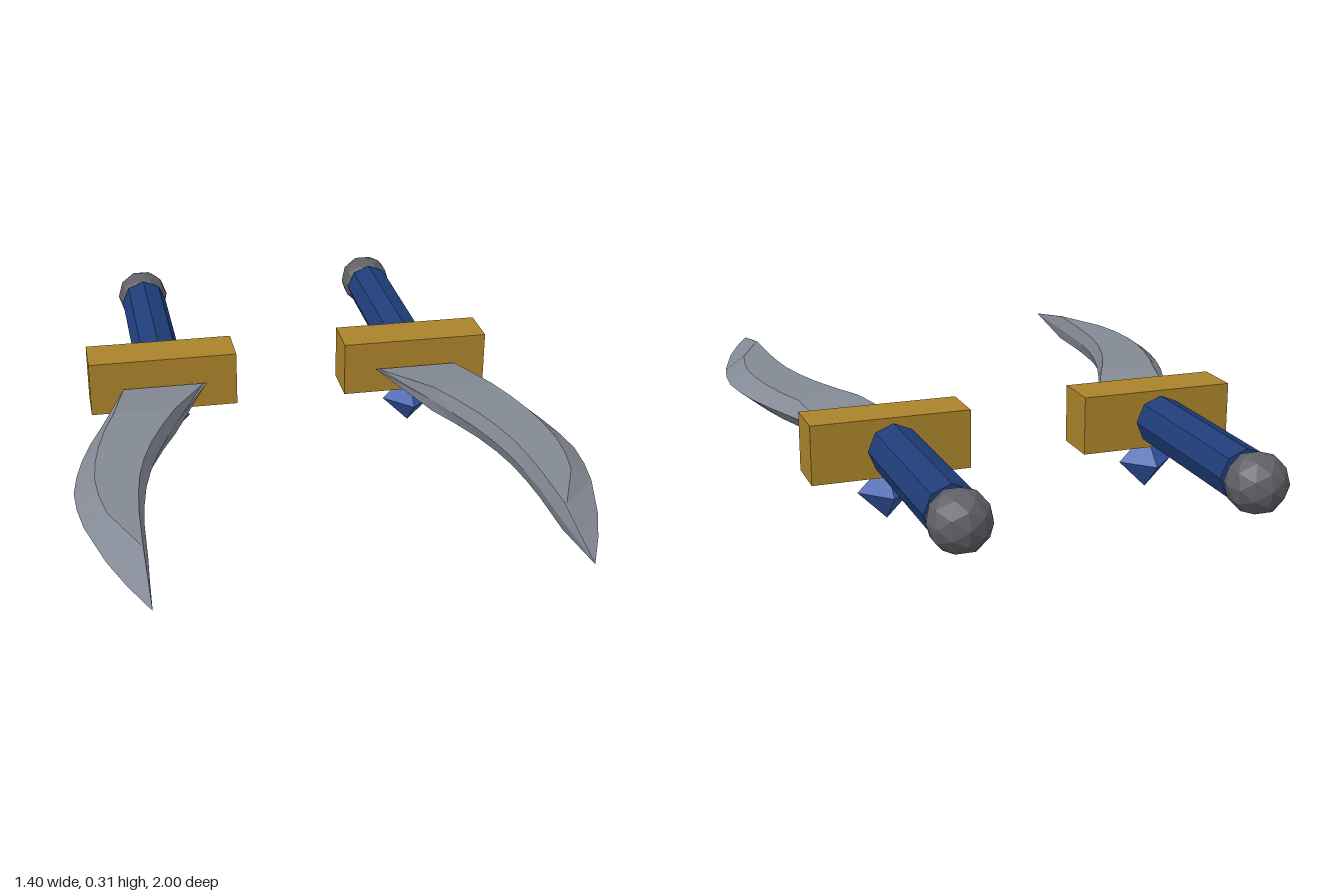
import * as THREE from 'three';

const mat = (name, color) => {
  const m = new THREE.MeshStandardMaterial({ color, flatShading: true });
  m.name = name;
  return m;
};

// Blade stations: z, outer edge x, outer flat x, inner flat x, inner edge x, half thickness
const STATIONS = [
  [-0.185, 0.52, 0.51, 0.275, 0.266, 0],
  [0.05, 0.602, 0.565, 0.388, 0.38, 0.04],
  [0.14, 0.637, 0.595, 0.432, 0.418, 0.04],
  [0.24, 0.668, 0.62, 0.474, 0.457, 0.04],
  [0.33, 0.688, 0.635, 0.502, 0.485, 0.04],
  [0.42, 0.70, 0.642, 0.522, 0.506, 0.04],
  [0.51, 0.696, 0.637, 0.533, 0.519, 0.04],
  [0.60, 0.683, 0.622, 0.54, 0.528, 0.04],
  [0.77, 0.638, 0.55, 0.545, 0.534, 0.04],
  [0.885, 0.596, 0.548, 0.545, 0.54, 0.02],
  [1.0, 0.545, 0.545, 0.545, 0.545, 0],
];

// Six-sided sections joined along the curve, side is +1 or -1
function bladeGeometry(side) {
  const Y = 0.229;
  const rings = STATIONS.map(([z, o, of, inf, i, t]) => [
    [o, Y, z], [of, Y + t, z], [inf, Y + t, z], [i, Y, z], [inf, Y - t, z], [of, Y - t, z],
  ].map(([x, y, zz]) => [x * side, y, zz]));
  const pos = [];
  const tri = (a, b, c) => pos.push(...a, ...(side > 0 ? b : c), ...(side > 0 ? c : b));
  for (let r = 0; r < rings.length - 1; r++) {
    for (let k = 0; k < 6; k++) {
      const n = (k + 1) % 6;
      const a = rings[r][k], b = rings[r][n], c = rings[r + 1][n], d = rings[r + 1][k];
      tri(a, c, d);
      tri(a, b, c);
    }
  }
  const g = new THREE.BufferGeometry();
  g.setAttribute('position', new THREE.Float32BufferAttribute(pos, 3));
  g.computeVertexNormals();
  return g;
}

export function createModel() {
  const steel = mat('blade steel', 0x848a95);
  const iron = mat('pommel iron', 0x5e6065);
  const brass = mat('guard brass', 0xaa822a);
  const grip = mat('blue grip', 0x1f3d79);
  const jewel = mat('blue gem', 0x3459ac);

  const root = new THREE.Group();
  root.name = 'daggers';

  for (const side of [1, -1]) {
    const dagger = new THREE.Group();
    dagger.name = side > 0 ? 'leftDagger' : 'rightDagger';
    const add = (name, geo, m, x, y, z) => {
      const mesh = new THREE.Mesh(geo, m);
      mesh.name = name;
      mesh.position.set(x * side, y, z);
      dagger.add(mesh);
    };

    // Curved blade
    add('blade', bladeGeometry(side), steel, 0, 0, 0);

    // Cross guard with the gem hanging beneath it
    add('guard', new THREE.BoxGeometry(0.45, 0.168, 0.138), brass, 0.395, 0.228, -0.268);
    add('gem', new THREE.OctahedronGeometry(0.083), jewel, 0.395, 0.083, -0.268);

    // Octagonal grip and faceted pommel
    const handle = new THREE.CylinderGeometry(0.073, 0.073, 0.505, 8).rotateX(Math.PI / 2);
    add('handle', handle, grip, 0.395, 0.229, -0.6075);
    add('pommel', new THREE.IcosahedronGeometry(0.083, 1), iron, 0.395, 0.229, -0.917);

    root.add(dagger);
  }
  return root;
}
